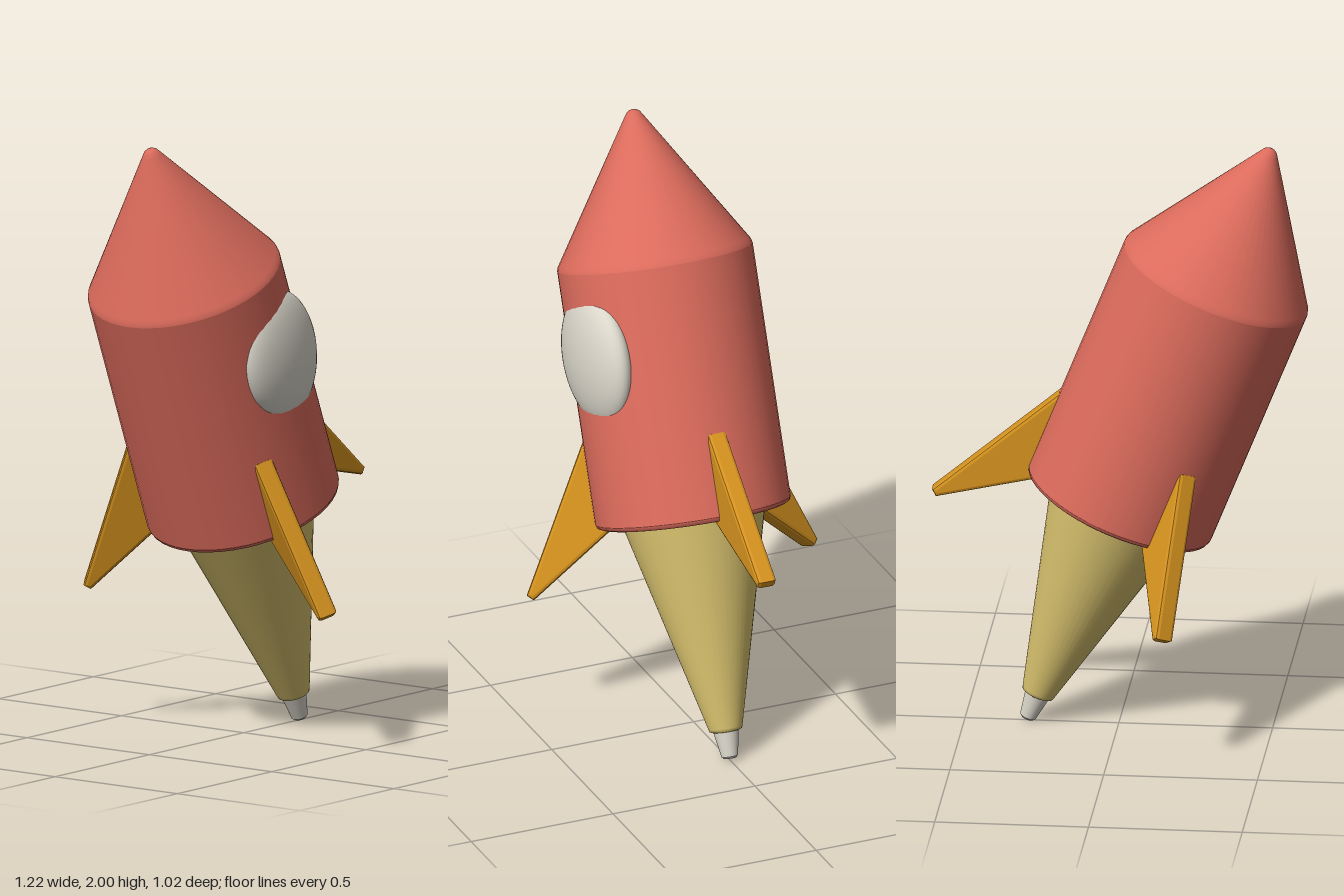
import * as THREE from 'three';

const TILT = THREE.MathUtils.degToRad(21.8);
const RADIUS = 0.32;

const paint = (name, color) => {
  const m = new THREE.MeshStandardMaterial({ color });
  m.name = name;
  return m;
};

export function createModel() {
  const red = paint('hull red', 0xdb6b5c);
  const straw = paint('flame straw', 0xd8c26e);
  const amber = paint('fin amber', 0xd6931f);
  const ivory = paint('ivory', 0xdad6ca);

  // Everything is built upright around the rocket's axis, then tilted
  const rocket = new THREE.Group();
  rocket.name = 'rocket';
  rocket.position.set(0, 0.755, 0);
  rocket.rotation.z = TILT;

  const add = (name, geometry, material, parent = rocket) => {
    const mesh = new THREE.Mesh(geometry, material);
    mesh.name = name;
    parent.add(mesh);
    return mesh;
  };
  // Profile of [radius, height] points, listed from the bottom up
  const revolve = (name, material, points) =>
    add(name, new THREE.LatheGeometry(points.map(([r, y]) => new THREE.Vector2(r, y)), 48), material);

  // Hull: flat underside, rounded lower rim, straight wall, pointed nose
  revolve('hullUnderside', red, [[0, 0], [RADIUS - 0.015, 0]]);
  revolve('hullRim', red, [[RADIUS - 0.015, 0], [RADIUS - 0.004, 0.005], [RADIUS, 0.016]]);
  revolve('hullWall', red, [[RADIUS, 0.016], [RADIUS, 0.85]]);
  revolve('noseShoulder', red, [[RADIUS, 0.85], [RADIUS - 0.003, 0.861], [RADIUS - 0.01, 0.872]]);
  revolve('noseCone', red, [[RADIUS - 0.01, 0.872], [0.03, 1.315]]);
  revolve('noseTip', red, [[0.03, 1.315], [0.022, 1.327], [0.012, 1.334], [0, 1.337]]);

  // Exhaust cone with a small rounded lower rim
  revolve('exhaustCone', straw, [[0.056, -0.7], [0.236, 0.005]]);
  revolve('exhaustRim', straw, [[0, -0.712], [0.046, -0.712], [0.053, -0.709], [0.056, -0.7]]);

  // Pale tip below the exhaust
  revolve('exhaustTip', ivory, [[0.027, -0.795], [0.043, -0.705]]);
  revolve('exhaustTipEnd', ivory, [[0, -0.802], [0.02, -0.802], [0.027, -0.795]]);

  // Bulging window set into the hull wall
  const pane = add('window', new THREE.SphereGeometry(1, 40, 28), ivory);
  pane.scale.set(0.195, 0.22, 0.075);
  pane.position.set(0.05, 0.567, 0.27);
  pane.rotation.y = THREE.MathUtils.degToRad(6);

  // Three swept fins with bevelled edges
  const bevel = 0.012;
  const outline = new THREE.Shape([
    [0.262, 0.008], [0.555, -0.192], [0.562, -0.186], [0.313, 0.274], [0.285, 0.274],
  ].map(([x, y]) => new THREE.Vector2(x, y)));
  const finGeometry = new THREE.ExtrudeGeometry(outline, {
    depth: 0.042, bevelEnabled: true, bevelSize: bevel, bevelThickness: bevel, bevelSegments: 2,
  });
  finGeometry.translate(0, 0, -0.021);
  for (let i = 0; i < 3; i++) {
    add('fin' + (i + 1), finGeometry, amber).rotation.y = (i * Math.PI * 2) / 3;
  }

  const model = new THREE.Group();
  model.name = 'model';
  model.add(rocket);
  return model;
}
